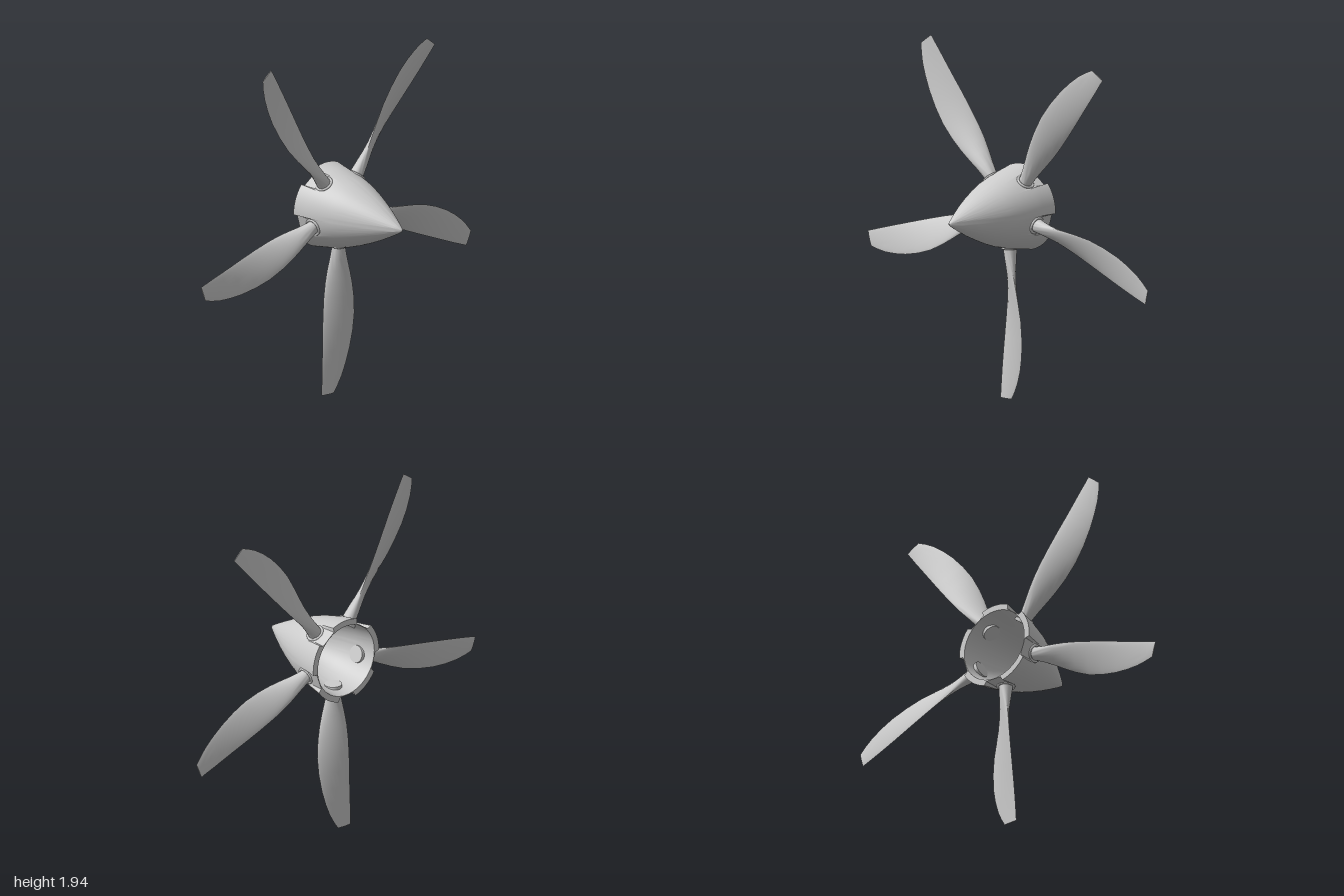
import * as THREE from 'three';
import { toCreasedNormals } from 'three/addons/utils/BufferGeometryUtils.js';

const BLADES = 5;
const material = new THREE.MeshStandardMaterial({ color: 0xcccccc });

function add(parent, geometry, name) {
  const mesh = new THREE.Mesh(geometry, material);
  mesh.name = name;
  parent.add(mesh);
  return mesh;
}

// Hollow spinner shell with a flat channel cut from each blade root to the rear edge
function spinnerGeometry() {
  const outer = [
    [0.237, -0.11], [0.227, -0.06], [0.222, -0.03], [0.216, 0], [0.203, 0.05], [0.184, 0.12],
    [0.16, 0.185], [0.128, 0.26], [0.095, 0.33], [0.058, 0.4], [0.03, 0.45], [0.012, 0.481], [0, 0.49],
  ];
  const inner = [
    [0, 0.44], [0.03, 0.4], [0.09, 0.29], [0.14, 0.185], [0.168, 0.1], [0.185, 0.02], [0.193, -0.04], [0.203, -0.11],
  ];
  const points = [...inner, ...outer].map(([r, z]) => new THREE.Vector2(r, z));
  const geometry = new THREE.LatheGeometry(points, 120);
  geometry.rotateX(Math.PI / 2);
  const pos = geometry.attributes.position;
  for (let i = 0; i < pos.count; i++) {
    const x = pos.getX(i), y = pos.getY(i);
    if (pos.getZ(i) > 0.06) continue;
    for (let k = 0; k < BLADES; k++) {
      const a = -Math.PI / 2 + (k * 2 * Math.PI) / BLADES;
      const c = Math.cos(a), s = Math.sin(a);
      const along = x * c + y * s, across = y * c - x * s;
      if (along > 0.206 && Math.abs(across) < 0.05) {
        pos.setXY(i, c * 0.206 - s * across, s * 0.206 + c * across);
      }
    }
  }
  return toCreasedNormals(geometry, 0.5);
}

// Twisted blade hanging along -y, lofted from elliptical sections that sharpen outwards
function bladeGeometry() {
  // radius, straight edge x, curved edge x, thickness, pitch in degrees
  const stations = [
    [0.175, -0.037, 0.037, 0.074, 45],
    [0.22, -0.036, 0.038, 0.074, 45],
    [0.28, -0.038, 0.043, 0.062, 43],
    [0.35, -0.045, 0.055, 0.046, 39],
    [0.42, -0.054, 0.070, 0.036, 34],
    [0.5, -0.062, 0.085, 0.028, 29],
    [0.6, -0.070, 0.097, 0.022, 23],
    [0.7, -0.077, 0.095, 0.018, 18],
    [0.8, -0.083, 0.083, 0.014, 13],
    [0.88, -0.088, 0.064, 0.011, 10],
    [0.95, -0.092, 0.040, 0.008, 8],
    [1.0, -0.094, 0.015, 0.007, 6],
    [1.042, -0.096, -0.011, 0.006, 5],
  ];
  const n = 24, positions = [], index = [];
  stations.forEach(([r, x0, x1, thick, deg], j) => {
    const p = THREE.MathUtils.degToRad(deg), cp = Math.cos(p), sp = Math.sin(p);
    const mid = (x0 + x1) / 2, w = (x1 - x0) / 2, t = thick / 2;
    const chord = Math.sqrt(w * w - t * t * sp * sp) / cp;
    const sharp = 1 + 0.6 * THREE.MathUtils.smoothstep(r, 0.25, 0.6);
    for (let i = 0; i < n; i++) {
      const a = (i / n) * Math.PI * 2, s = Math.sin(a);
      const u = chord * Math.cos(a), v = t * Math.sign(s) * Math.abs(s) ** sharp;
      positions.push(mid + u * cp - v * sp, -r, u * sp + v * cp);
      if (j < stations.length - 1) {
        const a0 = j * n + i, a1 = j * n + ((i + 1) % n);
        index.push(a0, a1, a0 + n, a1, a1 + n, a0 + n);
      }
    }
  });
  // End caps
  const last = (stations.length - 1) * n;
  for (let i = 1; i < n - 1; i++) {
    index.push(0, i + 1, i, last, last + i, last + i + 1);
  }
  const geometry = new THREE.BufferGeometry();
  geometry.setAttribute('position', new THREE.Float32BufferAttribute(positions, 3));
  geometry.setIndex(index);
  return toCreasedNormals(geometry, 0.8);
}

export function createModel() {
  const model = new THREE.Group();
  model.name = 'propeller';

  // The whole assembly is pitched slightly nose down
  const rotor = new THREE.Group();
  rotor.name = 'rotor';
  rotor.position.set(0.012, 1.043, -0.187);
  rotor.rotation.x = 0.034;
  model.add(rotor);

  add(rotor, spinnerGeometry(), 'spinner');

  const blade = bladeGeometry();
  const collar = new THREE.TorusGeometry(0.044, 0.007, 8, 32).rotateX(Math.PI / 2);
  const socket = toCreasedNormals(new THREE.CylinderGeometry(0.048, 0.048, 0.034, 32), 0.6);
  for (let k = 0; k < BLADES; k++) {
    const arm = new THREE.Group();
    arm.name = 'bladeArm' + (k + 1);
    arm.rotation.z = (k * 2 * Math.PI) / BLADES;
    rotor.add(arm);
    add(arm, blade, 'blade');
    add(arm, collar, 'rootCollar').position.y = -0.206;
    add(arm, socket, 'rootSocket').position.y = -0.192;
  }
  return model;
}
